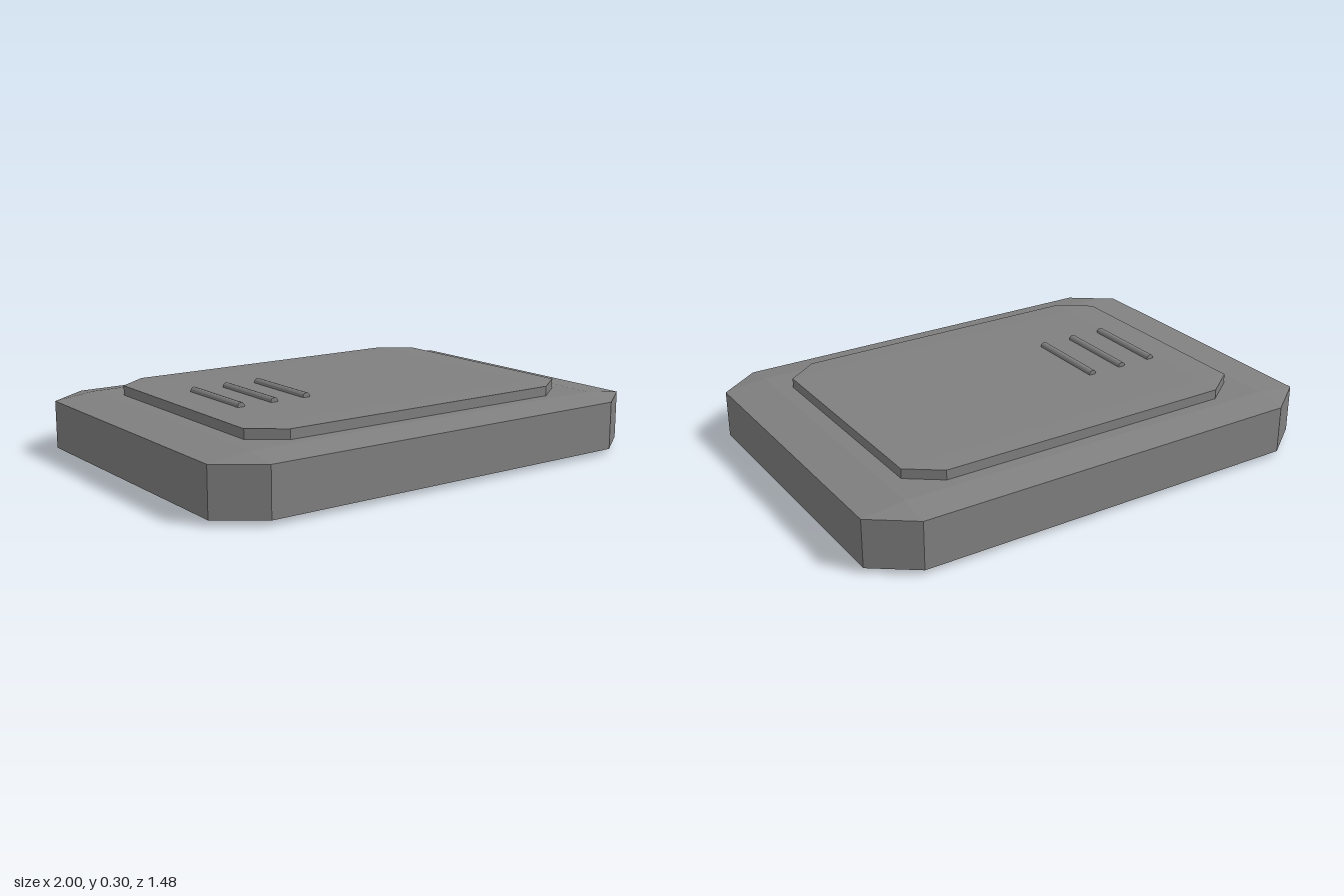
import * as THREE from 'three';
import { ConvexGeometry } from 'three/addons/geometries/ConvexGeometry.js';

const material = new THREE.MeshStandardMaterial({ color: 0x808080, flatShading: true });

// Box with every edge cut by one bevel, in proportion to each half size
function bevelledBox(name, hx, hy, hz, y) {
  const k = 0.826;
  const points = [];
  for (const sx of [-1, 1]) for (const sy of [-1, 1]) for (const sz of [-1, 1]) {
    const x = sx * hx, yy = sy * hy, z = sz * hz;
    points.push(
      new THREE.Vector3(x, yy * k, z * k),
      new THREE.Vector3(x * k, yy, z * k),
      new THREE.Vector3(x * k, yy * k, z)
    );
  }
  const mesh = new THREE.Mesh(new ConvexGeometry(points), material);
  mesh.name = name;
  mesh.position.y = y;
  return mesh;
}

export function createModel() {
  const model = new THREE.Group();
  model.name = 'bevelledSlab';

  // Main slab, with the raised panel sunk slightly into its top
  model.add(bevelledBox('body', 1, 0.119, 0.74, 0.119));
  model.add(bevelledBox('topPanel', 0.762, 0.025, 0.563, 0.257));

  // Three slim grip bars, half sunk into the panel
  const ribs = new THREE.Group();
  ribs.name = 'gripRibs';
  const ribGeometry = new THREE.CylinderGeometry(0.016, 0.016, 0.357, 12).rotateX(Math.PI / 2);
  for (let i = 0; i < 3; i++) {
    const rib = new THREE.Mesh(ribGeometry, material);
    rib.name = 'gripRib' + (i + 1);
    rib.position.set(-0.595 + i * 0.15, 0.285, 0);
    ribs.add(rib);
  }
  model.add(ribs);
  return model;
}
